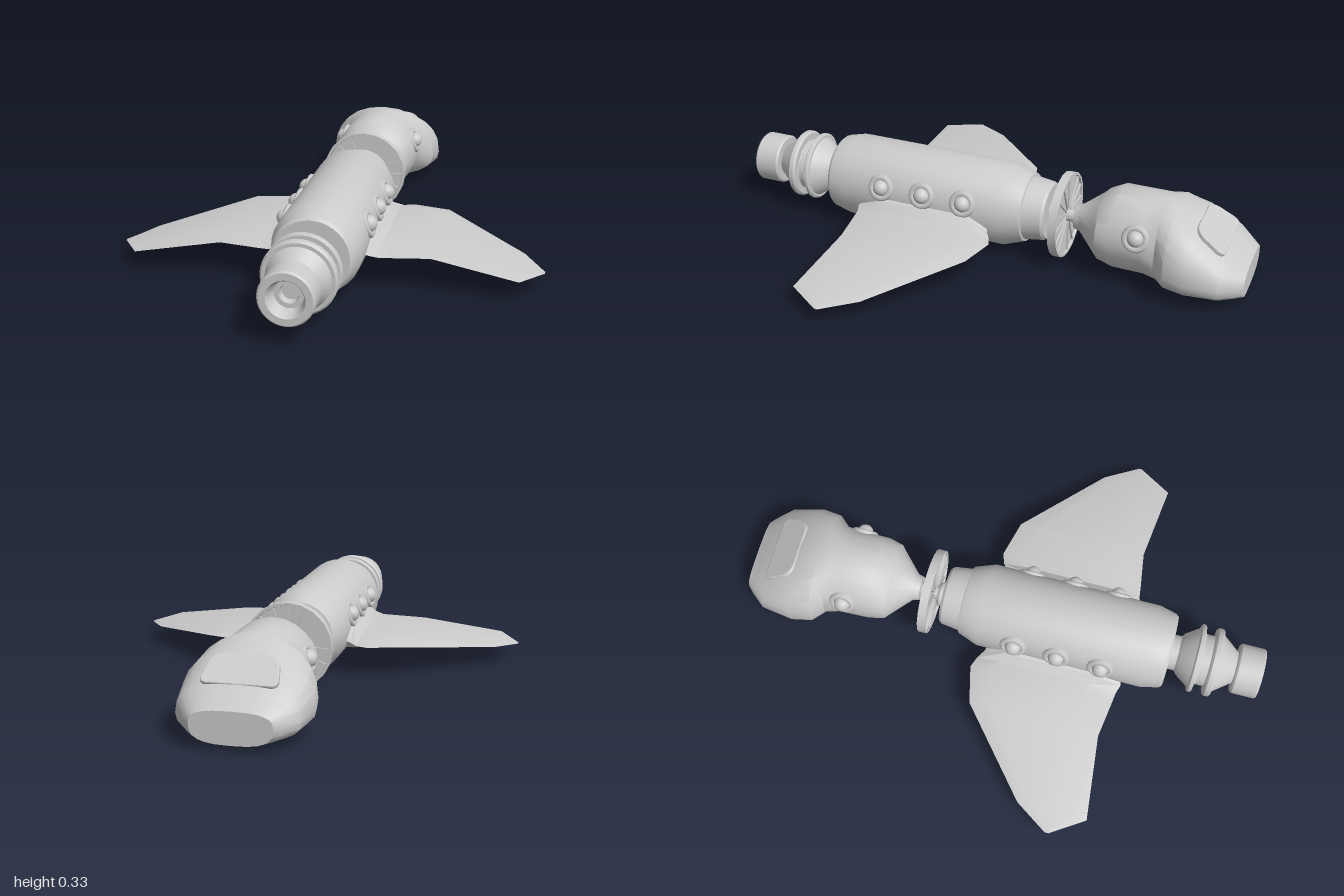
import * as THREE from 'three';
import { toCreasedNormals } from 'three/addons/utils/BufferGeometryUtils.js';

const AXIS_Y = 0.172;
const material = new THREE.MeshStandardMaterial({ color: 0xcccccc });

function add(parent, name, geometry) {
  const mesh = new THREE.Mesh(geometry, material);
  mesh.name = name;
  parent.add(mesh);
  return mesh;
}

// Closed skin over rings of equal point count, capped at both ends and turned to face outwards
function loft(rings, crease) {
  const n = rings[0].length;
  const mean = (ring) => ring.reduce((s, p) => s.add(p), new THREE.Vector3()).divideScalar(n);
  const first = rings[0], last = rings[rings.length - 1];
  const c0 = mean(first), c1 = mean(last);
  const tris = [];
  for (let j = 0; j < n; j++) {
    const k = (j + 1) % n;
    tris.push([c0, first[k], first[j]], [c1, last[j], last[k]]);
    for (let i = 0; i < rings.length - 1; i++) {
      const a = rings[i], b = rings[i + 1];
      tris.push([a[j], a[k], b[j]], [a[k], b[k], b[j]]);
    }
  }
  let volume = 0;
  for (const [a, b, c] of tris) volume += a.dot(new THREE.Vector3().crossVectors(b, c));
  if (volume < 0) tris.forEach((t) => t.reverse());
  const geometry = new THREE.BufferGeometry().setFromPoints(tris.flat());
  return toCreasedNormals(geometry, crease);
}

// Turned part along z, from [radius, z] pairs listed by rising z
function turned(parent, name, profile, sides = 32, crease = 0.45) {
  const geometry = new THREE.LatheGeometry(profile.map(([r, z]) => new THREE.Vector2(r, z)), sides);
  geometry.rotateX(Math.PI / 2);
  geometry.translate(0, AXIS_Y, 0);
  return add(parent, name, toCreasedNormals(geometry, crease));
}

// Head: sections of [z, halfWidth, top, widestY, bottom, squareness]
function buildHead(parent) {
  const sections = [
    [-0.33, 0.045, 0.22, 0.172, 0.124, 1],
    [-0.355, 0.052, 0.227, 0.172, 0.117, 1],
    [-0.43, 0.13, 0.285, 0.172, 0.045, 1],
    [-0.445, 0.148, 0.30, 0.172, 0.033, 1],
    [-0.50, 0.16, 0.33, 0.172, 0.015, 1],
    [-0.62, 0.163, 0.33, 0.165, 0.015, 1],
    [-0.675, 0.172, 0.328, 0.14, 0.016, 0.95],
    [-0.72, 0.216, 0.322, 0.12, 0.018, 0.9],
    [-0.80, 0.23, 0.285, 0.11, 0.02, 0.85],
    [-0.92, 0.21, 0.208, 0.10, 0.025, 0.8],
    [-0.975, 0.165, 0.162, 0.095, 0.028, 0.75],
    [-1.0, 0.14, 0.143, 0.095, 0.03, 0.7],
  ];
  const rings = sections.map(([z, w, top, mid, bottom, p]) =>
    Array.from({ length: 24 }, (_, i) => {
      const a = (i / 24) * Math.PI * 2;
      const c = Math.cos(a), s = Math.sin(a);
      const x = Math.sign(c) * w * Math.abs(c) ** p;
      const h = s > 0 ? top - mid : mid - bottom;
      return new THREE.Vector3(x, mid + Math.sign(s) * h * Math.abs(s) ** p, z);
    }));
  add(parent, 'head', loft(rings, 0.55));

  // Window panel on the sloping brow
  const shape = new THREE.Shape();
  shape.moveTo(-0.105, 0.065);
  shape.lineTo(0.105, 0.065);
  shape.quadraticCurveTo(0.125, 0.065, 0.125, 0.04);
  shape.lineTo(0.115, -0.02);
  shape.quadraticCurveTo(0.105, -0.06, 0.065, -0.06);
  shape.lineTo(-0.065, -0.06);
  shape.quadraticCurveTo(-0.105, -0.06, -0.115, -0.02);
  shape.lineTo(-0.125, 0.04);
  shape.quadraticCurveTo(-0.125, 0.065, -0.105, 0.065);
  const panel = add(parent, 'browWindow', new THREE.ExtrudeGeometry(shape, {
    depth: 0.03, bevelEnabled: true, bevelSize: 0.005, bevelThickness: 0.005, bevelSegments: 2,
  }));
  panel.rotation.x = -Math.PI / 2 - 0.57;
  panel.position.set(0, 0.218, -0.845);
}

// Porthole: rounded collar with a domed glass, facing out from the hull
function buildPorthole(parent, side, z) {
  const porthole = new THREE.Group();
  porthole.name = 'porthole';
  const collar = [[0.052, -0.03], [0.052, 0.004], [0.045, 0.011], [0.034, 0.011], [0.031, 0.006]];
  add(porthole, 'portholeCollar',
    new THREE.LatheGeometry(collar.map(([r, y]) => new THREE.Vector2(r, y)), 20));
  const dome = add(porthole, 'portholeGlass',
    new THREE.SphereGeometry(0.031, 20, 8, 0, Math.PI * 2, 0, Math.PI / 2));
  dome.position.y = 0.002;
  const tilt = 0.3;
  porthole.position.set(side * Math.cos(tilt) * 0.156, AXIS_Y + Math.sin(tilt) * 0.156, z);
  porthole.rotation.z = -side * (Math.PI / 2 - tilt);
  parent.add(porthole);
}

// Wing: diamond sections of [x, leadingZ, trailingZ, y, halfThickness]
function buildWing(parent, side) {
  const sections = [
    [0.13, -0.02, 0.49, 0.14, 0.05],
    [0.17, -0.035, 0.50, 0.133, 0.04],
    [0.20, -0.055, 0.49, 0.125, 0.022],
    [0.24, -0.07, 0.485, 0.125, 0.02],
    [0.38, -0.035, 0.465, 0.126, 0.014],
    [0.69, 0.235, 0.50, 0.079, 0.006],
    [0.77, 0.36, 0.375, 0.067, 0.002],
  ];
  const rings = sections.map(([x, lead, trail, y, t]) => {
    const at = (f, dy) => new THREE.Vector3(side * x, y + dy, lead + (trail - lead) * f);
    return [at(0, 0), at(0.15, t), at(0.8, t), at(1, 0), at(0.8, -t), at(0.15, -t)];
  });
  add(parent, side > 0 ? 'leftWing' : 'rightWing', loft(rings, 0.3));
}

// Spoked wheel between head and body
function buildWheel(parent) {
  const wheel = new THREE.Group();
  wheel.name = 'spokedWheel';
  turned(wheel, 'wheelRim', [[0, -0.294], [0.152, -0.294], [0.154, -0.302], [0.164, -0.302],
    [0.164, -0.27], [0.154, -0.27], [0.152, -0.278], [0, -0.278]], 20);
  for (let i = 0; i < 16; i++) {
    const a = (i / 16) * Math.PI * 2;
    const spoke = add(wheel, 'wheelSpoke', new THREE.BoxGeometry(0.125, 0.006, 0.028));
    spoke.position.set(Math.cos(a) * 0.092, AXIS_Y + Math.sin(a) * 0.092, -0.286);
    spoke.rotation.z = a;
  }
  parent.add(wheel);
}

export function createModel() {
  const model = new THREE.Group();
  model.name = 'wingedCraft';

  // Hull
  turned(model, 'body', [[0, -0.232], [0.105, -0.232], [0.113, -0.222], [0.123, -0.15],
    [0.132, -0.148], [0.16, -0.07], [0.16, 0.575], [0.144, 0.64], [0.135, 0.65], [0, 0.65]]);
  // Stepped shaft through the wheel
  turned(model, 'neckShaft', [[0, -0.345], [0.024, -0.345], [0.024, -0.262], [0.038, -0.262],
    [0.046, -0.252], [0.046, -0.225], [0, -0.225]], 20);
  buildWheel(model);
  buildHead(model);

  // Tail: neck, flared drum, two collars and hollow nozzle
  turned(model, 'engine', [[0, 0.64], [0.067, 0.64], [0.067, 0.68], [0.08, 0.69], [0.118, 0.745],
    [0.098, 0.77], [0.098, 0.8], [0.118, 0.825], [0.06, 0.9], [0, 0.9]]);
  for (const [z, half] of [[0.752, 0.01], [0.817, 0.015]]) {
    turned(model, 'engineCollar', [[0, z - half], [0.125, z - half], [0.132, z - half * 0.5],
      [0.132, z + half * 0.5], [0.125, z + half], [0, z + half]]);
  }
  turned(model, 'nozzle', [[0, 0.9], [0.09, 0.9], [0.096, 0.907], [0.096, 0.993], [0.09, 1],
    [0.066, 1], [0.06, 0.99], [0.05, 0.95], [0.034, 0.95], [0.03, 0.925], [0, 0.925]]);

  for (const side of [1, -1]) {
    buildWing(model, side);
    for (const z of [0.41, 0.24, 0.073, -0.6]) buildPorthole(model, side, z);
  }
  return model;
}
